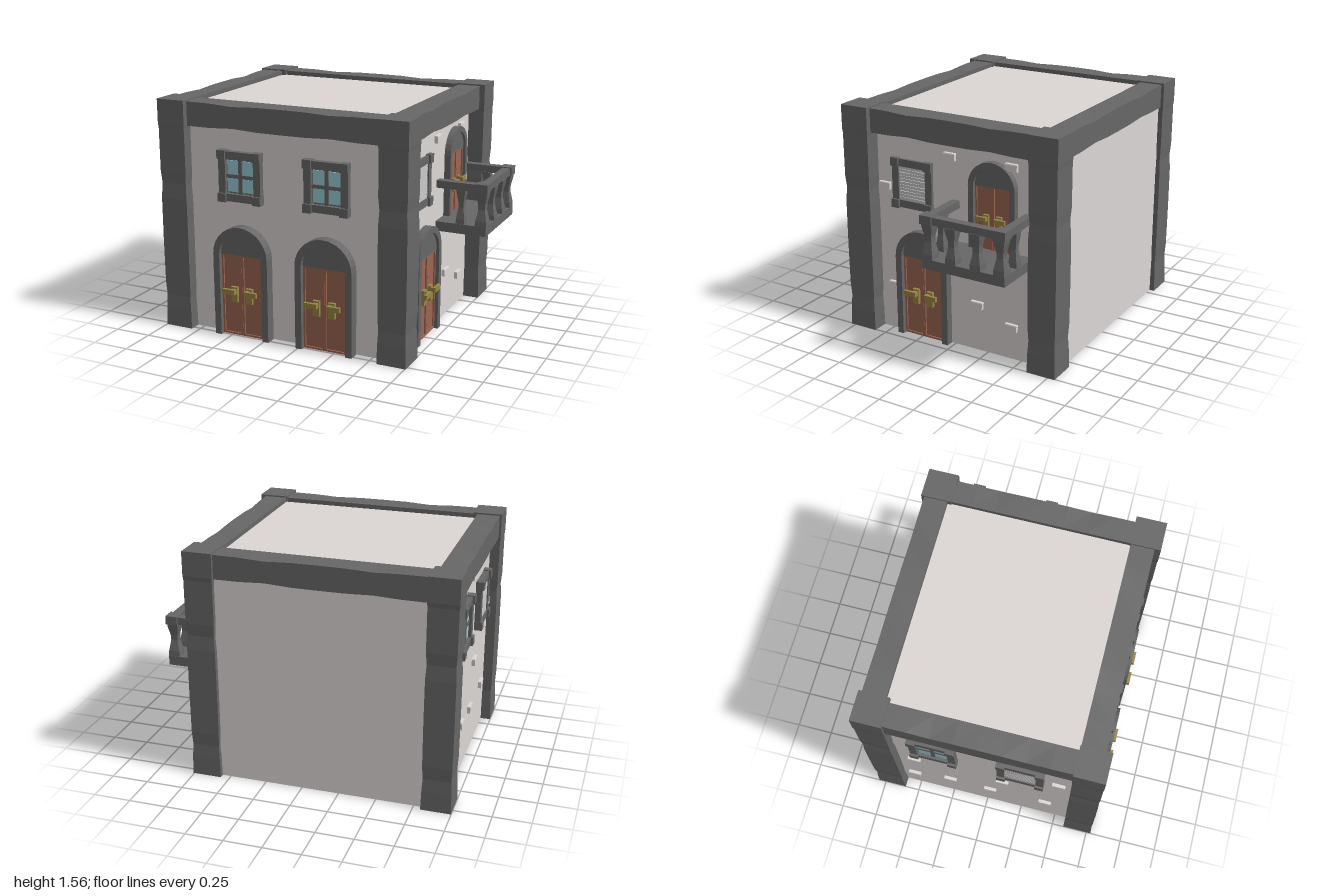
import * as THREE from 'three';

const mat = (name, color, side = THREE.FrontSide) => {
  const m = new THREE.MeshStandardMaterial({ color, side });
  m.name = name;
  return m;
};

export function createModel() {
  const house = new THREE.Group();
  house.name = 'house';
  const plaster = mat('plaster', 0xdcd7d5, THREE.DoubleSide);
  const stone = mat('darkStone', 0x676767, THREE.DoubleSide);
  const wood = mat('doorWood', 0x9b6552);
  const brass = mat('brass', 0x988745);
  const glass = mat('glass', 0x98cfd8);
  const slat = mat('shutterSlats', 0xc9c7c6);

  const add = (parent, name, geo, material, x = 0, y = 0, z = 0) => {
    const m = new THREE.Mesh(geo, material);
    m.name = name;
    m.position.set(x, y, z);
    parent.add(m);
    return m;
  };
  const box = (parent, name, material, w, h, d, x, y, z) =>
    add(parent, name, new THREE.BoxGeometry(w, h, d), material, x, y, z);
  const group = (parent, name, x, y, z) => {
    const g = new THREE.Group();
    g.name = name;
    g.position.set(x, y, z);
    parent.add(g);
    return g;
  };

  // Square column from y = 0, scaled at each level [height, widthScale, depthScale]
  const column = (w, d, levels, open = false) => {
    const n = levels.length - 1;
    const geo = new THREE.BoxGeometry(w, 1, d, 1, n, 1);
    const p = geo.attributes.position;
    for (let i = 0; i < p.count; i++) {
      const [y, sx, sz = sx] = levels[Math.round((p.getY(i) + 0.5) * n)];
      p.setXYZ(i, p.getX(i) * sx, y, p.getZ(i) * sz);
    }
    if (open) { // leave out the bottom face
      const g = geo.groups[3];
      geo.setIndex([...geo.index.array].filter((_, i) => i < g.start || i >= g.start + g.count));
    }
    geo.clearGroups();
    const flat = geo.toNonIndexed();
    flat.computeVertexNormals();
    return flat;
  };

  // Plaster shell with flat roof, open below
  add(house, 'wallsAndRoof', column(1.575, 1.465, [[0, 1], [1.52, 1]], true), plaster, -0.1425, 0, -0.0325);

  // Worn corner pillars
  const worn = [[0, 1], [0.13, 0.97], [0.22, 0.92], [0.31, 0.97], [0.61, 0.98], [0.9, 0.97],
    [1.0, 0.91], [1.08, 0.97], [1.37, 0.97], [1.4, 1], [1.56, 1]];
  for (const x of [-0.9, 0.658])
    for (const z of [0.68, -0.7])
      add(house, 'cornerPillar', column(0.198, 0.2, worn, true), stone, x, 0, z);

  // Roof edge beams, slightly uneven along their edges
  const beam = (len, x, z, turn) => {
    const geo = new THREE.BoxGeometry(len, 0.16, 0.155, 8, 1, 1);
    const p = geo.attributes.position;
    const dip = [0, 0.001, 0.01, 0.001, 0, 0.001, 0.008, 0.001, 0];
    for (let i = 0; i < p.count; i++) {
      const k = Math.round((p.getX(i) / len + 0.5) * 8);
      if (p.getZ(i) > 0) p.setY(i, p.getY(i) - Math.sign(p.getY(i)) * dip[k]);
    }
    const flat = geo.toNonIndexed();
    flat.computeVertexNormals();
    add(house, 'roofBeam', flat, stone, x, 1.47, z).rotation.y = turn;
  };
  beam(1.38, -0.12, 0.6625, 0);
  beam(1.38, -0.12, -0.7025, Math.PI);
  beam(1.2, 0.6425, -0.01, Math.PI / 2);
  beam(1.2, -0.9075, -0.01, -Math.PI / 2);

  // Each wall has its own frame with +z outwards
  const front = group(house, 'frontWallDetails', 0, 0, 0.7);
  const right = group(house, 'balconyWallDetails', 0.625, 0, 0);
  right.rotation.y = Math.PI / 2;
  const left = group(house, 'sideWallDetails', -0.93, 0, 0);
  left.rotation.y = -Math.PI / 2;

  // Arched double door
  const door = (parent, x, y = 0, scale = 1) => {
    const g = group(parent, 'archedDoor', x, y, 0.003);
    g.scale.setScalar(scale);
    const arch = new THREE.Shape();
    arch.moveTo(0.2, 0);
    arch.lineTo(0.2, 0.56);
    arch.absarc(0, 0.56, 0.2, 0, Math.PI, false);
    arch.lineTo(-0.2, 0);
    arch.lineTo(-0.155, 0);
    arch.lineTo(-0.155, 0.56);
    arch.absarc(0, 0.56, 0.155, Math.PI, 0, true);
    arch.lineTo(0.155, 0);
    const opts = { bevelEnabled: false, curveSegments: 7 };
    add(g, 'doorSurround', new THREE.ExtrudeGeometry(arch, { ...opts, depth: 0.072 }), stone);
    const fan = new THREE.Shape();
    fan.moveTo(0.156, 0.565);
    fan.absarc(0, 0.565, 0.15, 0, Math.PI, false);
    add(g, 'archPanel', new THREE.ExtrudeGeometry(fan, { ...opts, depth: 0.055 }), stone);
    box(g, 'doorBack', stone, 0.312, 0.565, 0.02, 0, 0.2825, 0.01);
    for (const s of [-1, 1]) {
      box(g, 'doorLeaf', wood, 0.149, 0.555, 0.04, s * 0.0745, 0.287, 0.02);
      for (const e of [0.007, 0.143]) box(g, 'leafStile', wood, 0.013, 0.555, 0.05, s * e, 0.287, 0.025);
      for (const e of [0.014, 0.559]) box(g, 'leafRail', wood, 0.149, 0.013, 0.05, s * 0.0745, e, 0.025);
      box(g, 'handlePlate', brass, 0.046, 0.105, 0.025, s * 0.055, 0.292, 0.05);
      box(g, 'handleStem', brass, 0.03, 0.03, 0.04, s * 0.05, 0.318, 0.07);
      box(g, 'handleLever', brass, 0.09, 0.034, 0.02, s * 0.08, 0.318, 0.087);
    }
  };
  door(front, -0.415);
  door(front, 0.185);
  door(right, -0.23);
  door(right, 0.303, 0.68, 0.84);

  // Stone window frame with corner blocks
  const frame = (parent, name, x, y) => {
    const g = group(parent, name, x, y, 0);
    for (const s of [-1, 1]) {
      box(g, 'frameSide', stone, 0.05, 0.28, 0.04, s * 0.128, 0, 0.02);
      box(g, 'frameRail', stone, 0.26, 0.05, 0.04, 0, s * 0.14, 0.02);
      for (const t of [-1, 1]) box(g, 'frameCorner', stone, 0.058, 0.058, 0.054, s * 0.127, t * 0.142, 0.027);
    }
    return g;
  };
  const glassWindow = (parent, x) => {
    const g = frame(parent, 'glassWindow', x, 1.085);
    box(g, 'windowBack', stone, 0.22, 0.24, 0.012, 0, 0, 0.008);
    for (const s of [-1, 1])
      for (const t of [-1, 1]) box(g, 'pane', glass, 0.08, 0.09, 0.008, s * 0.056, t * 0.059, 0.017);
    box(g, 'mullion', stone, 0.026, 0.24, 0.026, 0, 0, 0.013);
    box(g, 'crossbar', stone, 0.22, 0.024, 0.026, 0, 0, 0.013);
  };
  const shutterWindow = (parent, x) => {
    const g = frame(parent, 'shutterWindow', x, 1.062);
    box(g, 'shutterBack', stone, 0.22, 0.24, 0.016, 0, 0, 0.012);
    for (let i = 0; i < 11; i++)
      box(g, 'slat', slat, 0.208, 0.0185, 0.012, 0, -0.105 + i * 0.021, 0.026).rotation.z = (i % 3 - 1) * 0.01;
  };
  glassWindow(front, -0.424);
  glassWindow(front, 0.191);
  glassWindow(left, -0.33);
  shutterWindow(left, 0.25);
  shutterWindow(right, -0.308);

  // Loose bricks showing through the plaster
  const bricks = (parent, z, spots) => spots.forEach(([x, y]) =>
    add(parent, 'brick', column(0.088, 0.045, [[-0.025, 0.93, 1], [0.018, 1], [0.025, 0.97, 0.9]]), plaster, x, y, z));
  bricks(right, 0.02, [[-0.02, 1.3], [0.43, 1.3], [-0.525, 1.025], [-0.47, 0.325], [0.175, 0.325], [0.43, 0.6], [0.43, 0.225]]);
  bricks(left, 0, [[0.12, 0.66], [-0.49, 0.68], [0.03, 0.345], [-0.256, 0.36], [-0.52, 0.27], [-0.055, 1.33], [0.42, 0.36], [0.5, 0.95]]);

  // Balcony
  const balcony = group(house, 'balcony', 0, 0, -0.283);
  box(balcony, 'balconyFloor', stone, 0.35, 0.065, 0.592, 0.82, 0.7025, 0);
  box(balcony, 'frontHandrail', stone, 0.055, 0.05, 0.5, 0.962, 0.99, 0);
  const spindle = [[0, 1], [0.035, 0.95], [0.11, 0.58], [0.15, 0.62], [0.2, 0.9], [0.235, 1]];
  const post = (name, w, x, z) => add(balcony, name, column(w, w, spindle), stone, x, 0.733, z);
  for (const s of [-1, 1]) {
    box(balcony, 'sideHandrail', stone, 0.3, 0.05, 0.055, 0.78, 0.99, s * 0.265);
    box(balcony, 'railCorner', stone, 0.08, 0.058, 0.085, 0.96, 0.992, s * 0.262);
    post('cornerPost', 0.078, 0.957, s * 0.256);
    post('frontBaluster', 0.075, 0.957, s * 0.088);
    post('sideBaluster', 0.06, 0.815, s * 0.262);
  }

  return house;
}
